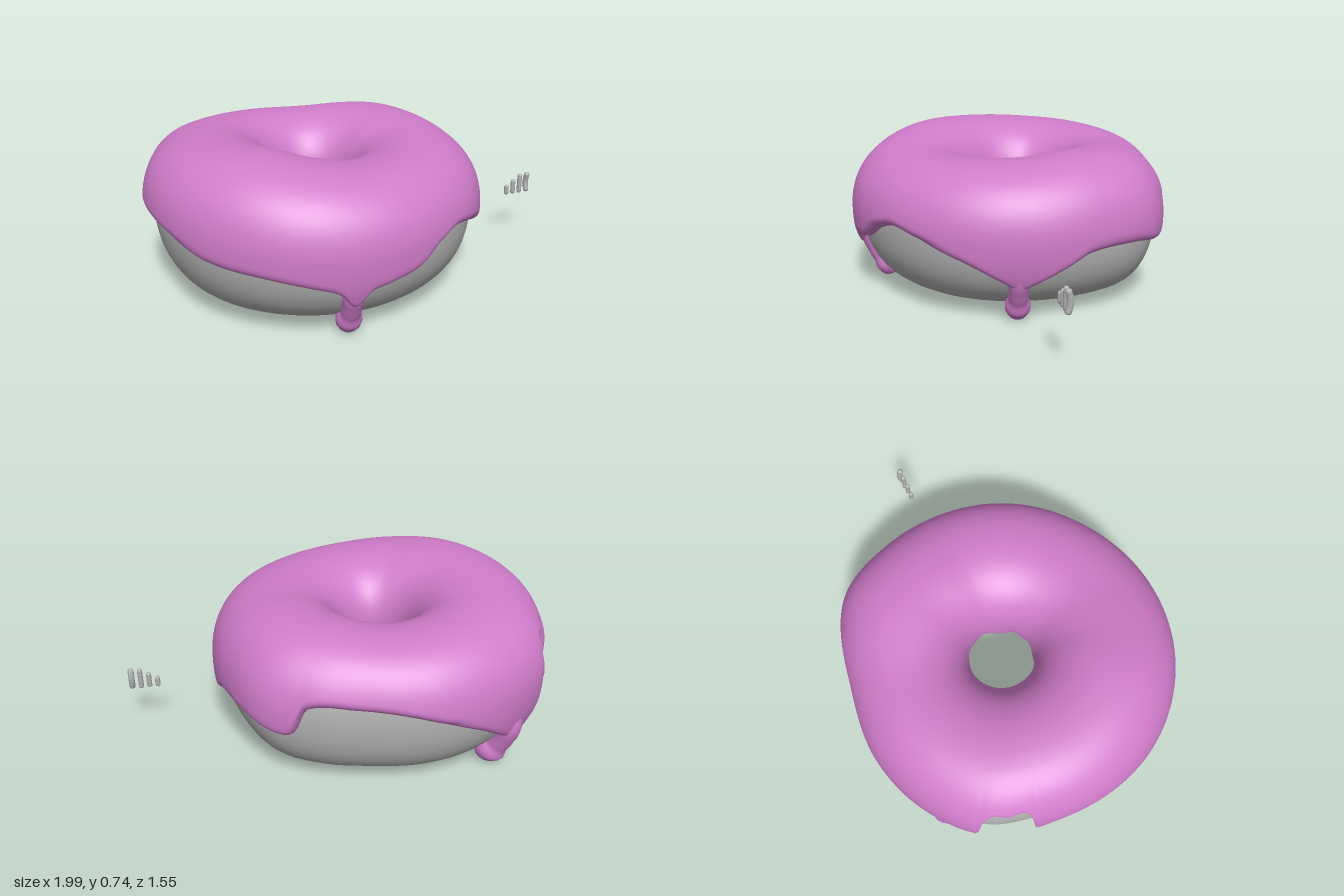
import * as THREE from 'three';

const CX = -0.2, FLOOR = 0.04, E = 0.9;
const rad = THREE.MathUtils.degToRad;
const spow = (v, e) => Math.sign(v) * Math.pow(Math.abs(v), e);

// Smooth periodic curve through [degrees, value] pairs
function around(t) {
  const n = t.length;
  const at = (i) => {
    const k = Math.floor(i / n);
    const p = t[i - k * n];
    return [p[0] + 360 * k, p[1]];
  };
  const slope = (i) => {
    const a = at(i - 1), b = at(i + 1);
    return (b[1] - a[1]) / (b[0] - a[0]);
  };
  return (phi) => {
    let d = THREE.MathUtils.radToDeg(phi) % 360;
    if (d < 0) d += 360;
    let i = -1;
    while (at(i + 1)[0] <= d) i++;
    const a = at(i), b = at(i + 1), h = b[0] - a[0], s = (d - a[0]) / h;
    const s2 = s * s, s3 = s2 * s;
    return a[1] * (2 * s3 - 3 * s2 + 1) + b[1] * (3 * s2 - 2 * s3)
      + h * (slope(i) * (s3 - 2 * s2 + s) + slope(i + 1) * (s3 - s2));
  };
}

// By angle from +x towards +z: outer radius of the dough, height of its widest level,
// icing height and lower icing edge
const outer = around([[0, 0.75], [30, 0.735], [60, 0.72], [90, 0.727], [120, 0.737], [150, 0.745],
  [180, 0.75], [200, 0.76], [217, 0.79], [235, 0.775], [260, 0.745], [285, 0.722], [305, 0.765],
  [320, 0.798], [340, 0.768]]);
const middle = around([[0, 0.38], [90, 0.38], [140, 0.41], [180, 0.425], [220, 0.4], [270, 0.38]]);
const height = around([[0, 0.695], [30, 0.685], [60, 0.68], [85, 0.685], [110, 0.71], [140, 0.74],
  [180, 0.735], [220, 0.715], [250, 0.7], [280, 0.69], [315, 0.712], [340, 0.71]]);
const edge = around([[2, 0.2], [8, 0.17], [14, 0.21], [24, 0.28], [34, 0.33], [45, 0.38], [56, 0.405],
  [65, 0.37], [74, 0.3], [86, 0.26], [92, 0.24], [97, 0.17], [102, 0.24], [108, 0.27], [124, 0.315],
  [146, 0.35], [165, 0.41], [185, 0.42], [196, 0.37], [199.5, 0.31], [201, 0.33], [202.5, 0.53],
  [210, 0.55], [218, 0.51], [220, 0.24], [223, 0.2], [230, 0.13], [237, 0.2], [250, 0.31],
  [270, 0.42], [290, 0.46], [306, 0.45], [309.5, 0.33], [313, 0.305], [327, 0.335], [344, 0.325],
  [352, 0.27]]);

// Point on the ring, u = 0 outside, PI/2 on top, PI in the hole
function ringPoint(phi, u, off) {
  const rIn = 0.2 - 0.04 * Math.sin(phi), rOut = outer(phi), mid = middle(phi);
  const half = (rOut - rIn) / 2 + off, s = Math.sin(u);
  const up = (s > 0 ? height(phi) - 0.045 - mid : mid - FLOOR) + off;
  const r = (rIn + rOut) / 2 + half * spow(Math.cos(u), E);
  return [CX + r * Math.cos(phi), mid + up * spow(s, E), r * Math.sin(phi)];
}

// Skin of cross-sections around the ring; closed also along the section if wanted
function ringSkin(nPhi, nU, closed, point) {
  const pos = [], idx = [], rows = closed ? nU : nU + 1;
  for (let i = 0; i < nPhi; i++) {
    for (let j = 0; j < rows; j++) pos.push(...point(i / nPhi * Math.PI * 2, j / nU));
  }
  for (let i = 0; i < nPhi; i++) {
    for (let j = 0; j < nU; j++) {
      const k = (j + 1) % rows, n = (i + 1) % nPhi;
      const a = i * rows + j, b = i * rows + k, c = n * rows + j, d = n * rows + k;
      idx.push(a, b, c, c, b, d);
    }
  }
  const g = new THREE.BufferGeometry();
  g.setAttribute('position', new THREE.Float32BufferAttribute(pos, 3));
  g.setIndex(idx);
  g.computeVertexNormals();
  return g;
}

// Icing shell with a rounded lip that sinks into the dough
function icingPoint(phi, w) {
  const T = 0.047, mid = middle(phi), y = edge(phi) - mid;
  const reach = y > 0 ? height(phi) - 0.045 - mid : mid - FLOOR;
  const S = THREE.MathUtils.clamp(y / (reach + T / 2), -0.97, 0.97);
  const u0 = Math.asin(spow(S, 1 / E)), uTop = 1.3;
  const u1 = Math.PI + 0.12 + 0.07 * Math.sin(3 * phi + 1) + 0.04 * Math.sin(7 * phi);
  const c = Math.cos(Math.PI * w);
  const u = c > 0 ? THREE.MathUtils.lerp(u0, uTop, 1 - c) : THREE.MathUtils.lerp(uTop, u1, -c);
  const d = Math.min(1, Math.min(u - u0, u1 - u) / 0.13);
  return ringPoint(phi, u, (T + 0.006) * Math.sqrt(Math.max(0, 1 - (1 - d) ** 2)) - 0.006);
}

// Tube whose thickness follows a rule along its length
function taperedTube(curve, segs, sides, radiusAt) {
  const g = new THREE.TubeGeometry(curve, segs, 1, sides, false);
  const p = g.attributes.position, v = new THREE.Vector3();
  for (let i = 0; i <= segs; i++) {
    const c = curve.getPointAt(i / segs), r = radiusAt(i / segs);
    for (let j = 0; j <= sides; j++) {
      const k = i * (sides + 1) + j;
      v.fromBufferAttribute(p, k).sub(c).multiplyScalar(r).add(c);
      p.setXYZ(k, v.x, v.y, v.z);
    }
  }
  g.computeVertexNormals();
  return g;
}

export function createModel() {
  const model = new THREE.Group();
  const dough = new THREE.MeshStandardMaterial({ name: 'grey dough', color: 0xb2b2b2 });
  const pink = new THREE.MeshStandardMaterial({ name: 'pink icing', color: 0xd07cca });
  const add = (name, geo, mat) => {
    const m = new THREE.Mesh(geo, mat);
    m.name = name;
    model.add(m);
    return m;
  };

  add('dough', ringSkin(120, 48, true, (phi, w) => ringPoint(phi, w * Math.PI * 2, 0)), dough);
  add('icing', ringSkin(360, 60, false, icingPoint), pink);

  // Drips: a neck growing out from under the icing and ending in a round bulb
  const drips = [['frontDrip', 97, -0.01, 1], ['leftDrip', 8, 0.02, 1], ['backDrip', 232, 0.06, 1.3]];
  for (const [name, deg, out, size] of drips) {
    const a = rad(deg);
    const path = new THREE.CatmullRomCurve3(
      [[0.65, 0.33], [0.7, 0.23], [0.67, 0.13], [0.625, 0.06], [0.61, 0.001]].map(([r, y]) =>
        new THREE.Vector3(CX + (r + out) * Math.cos(a), y, (r + out) * Math.sin(a))));
    add(name, taperedTube(path, 28, 14, (t) => {
      const bulb = 0.058 * size * Math.sqrt(Math.max(0, 1 - ((t - 0.81) / 0.19) ** 2));
      if (t > 0.81) return bulb;
      return Math.max(0.044 * size + 0.02 * Math.max(0, 1 - t / 0.5), bulb);
    }), pink);
  }

  // Row of loose sprinkles growing in length, the last one bent
  [0.05, 0.075, 0.1].forEach((len, i) => {
    const s = add('sprinkle', new THREE.CapsuleGeometry(0.012, len - 0.018, 4, 12), dough);
    s.position.set(0.866 + i * 0.039, 0.246 + len / 2, 0.015);
  });
  const bend = new THREE.CatmullRomCurve3([
    new THREE.Vector3(0.985, 0.245, 0.021), new THREE.Vector3(0.985, 0.3, 0.01),
    new THREE.Vector3(0.985, 0.354, 0.021)]);
  add('bentSprinkle', taperedTube(bend, 20, 12, (t) =>
    0.014 * Math.sqrt(Math.max(0, 1 - Math.max(0, Math.abs(2 * t - 1) - 0.8) ** 2 / 0.04))), dough);
  return model;
}
